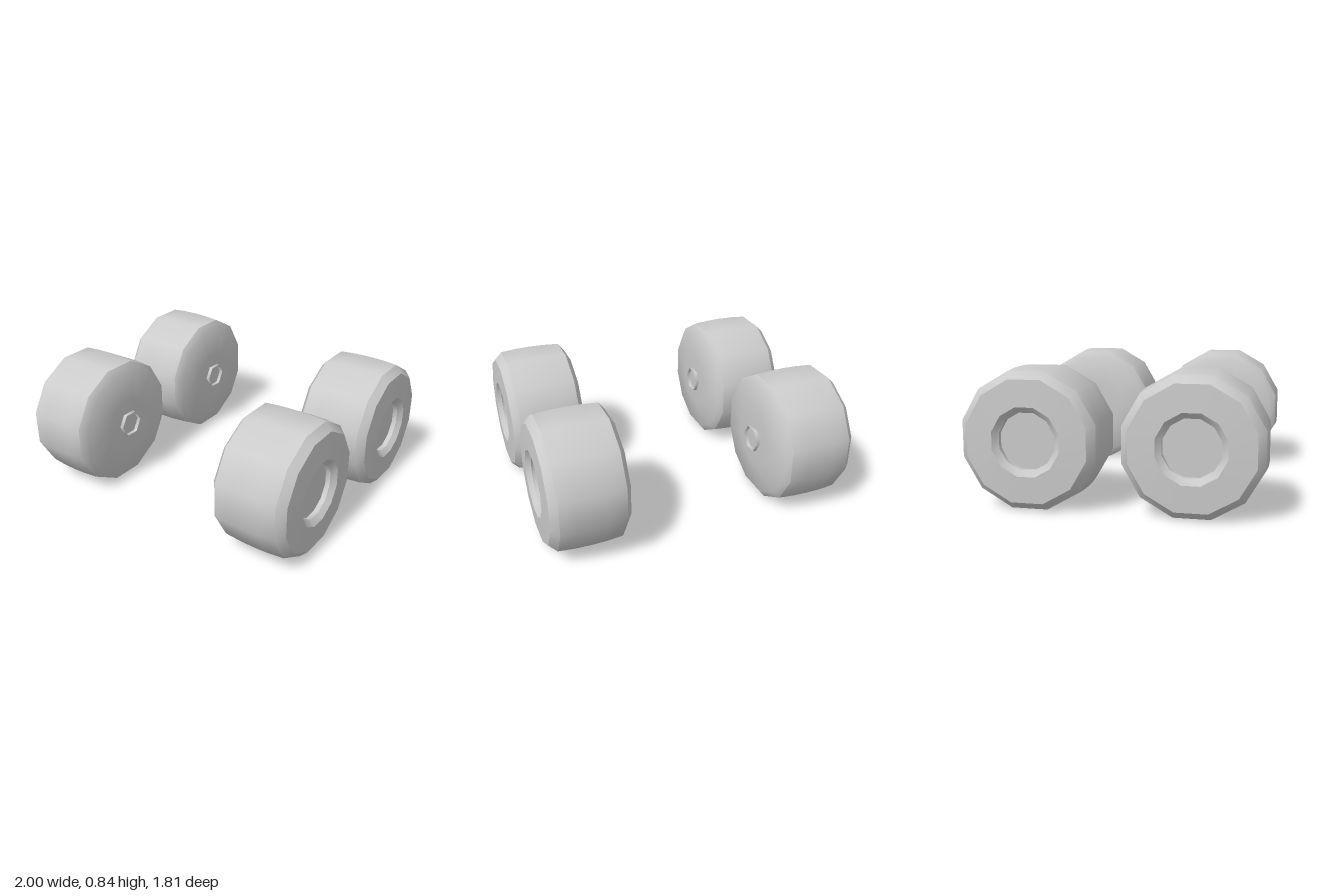
import * as THREE from 'three';
import { toCreasedNormals } from 'three/addons/utils/BufferGeometryUtils.js';

const SIDES = 12;
const material = new THREE.MeshStandardMaterial({ color: 0xcccccc });
const thinMaterial = new THREE.MeshStandardMaterial({ color: 0xcccccc, side: THREE.DoubleSide });

// Wheel profile as [distance from centre to flat, position along the axle], inner face to outer recess
const profile = [
  [0, 0.49], [0.17, 0.49], [0.365, 0.505],          // inner face
  [0.41, 0.54], [0.418, 0.65], [0.42, 0.745],       // inner chamfer and crowned tread
  [0.418, 0.84], [0.41, 0.945],
  [0.365, 0.992], [0.205, 1.0],                     // outer chamfer and face
  [0.17, 0.97], [0.17, 0.94], [0, 0.94],            // hub recess
];

function wheelGeometry() {
  const toCorner = 1 / Math.cos(Math.PI / SIDES);
  const points = profile.map(([r, x]) => new THREE.Vector2(r * toCorner, x));
  const geometry = new THREE.LatheGeometry(points, SIDES, Math.PI / SIDES);
  geometry.rotateZ(-Math.PI / 2);
  return toCreasedNormals(geometry, THREE.MathUtils.degToRad(35));
}

// Short open axle socket on the inner face
function socketGeometry() {
  const geometry = new THREE.CylinderGeometry(0.087, 0.087, 0.03, 6, 1, true);
  geometry.rotateZ(-Math.PI / 2);
  geometry.translate(0.48, 0, 0);
  return geometry;
}

export function createModel() {
  const model = new THREE.Group();
  model.name = 'wheelSet';
  const tire = wheelGeometry();
  const socket = socketGeometry();

  for (const [side, turn] of [['Left', 0], ['Right', Math.PI]]) {
    for (const [end, z] of [['front', 0.485], ['rear', -0.485]]) {
      const wheel = new THREE.Group();
      wheel.name = `${end}${side}Wheel`;
      const tireMesh = new THREE.Mesh(tire, material);
      tireMesh.name = 'tire';
      const socketMesh = new THREE.Mesh(socket, thinMaterial);
      socketMesh.name = 'axleSocket';
      wheel.add(tireMesh, socketMesh);
      wheel.position.set(0, 0.42, z);
      wheel.rotation.y = turn;
      model.add(wheel);
    }
  }
  return model;
}
